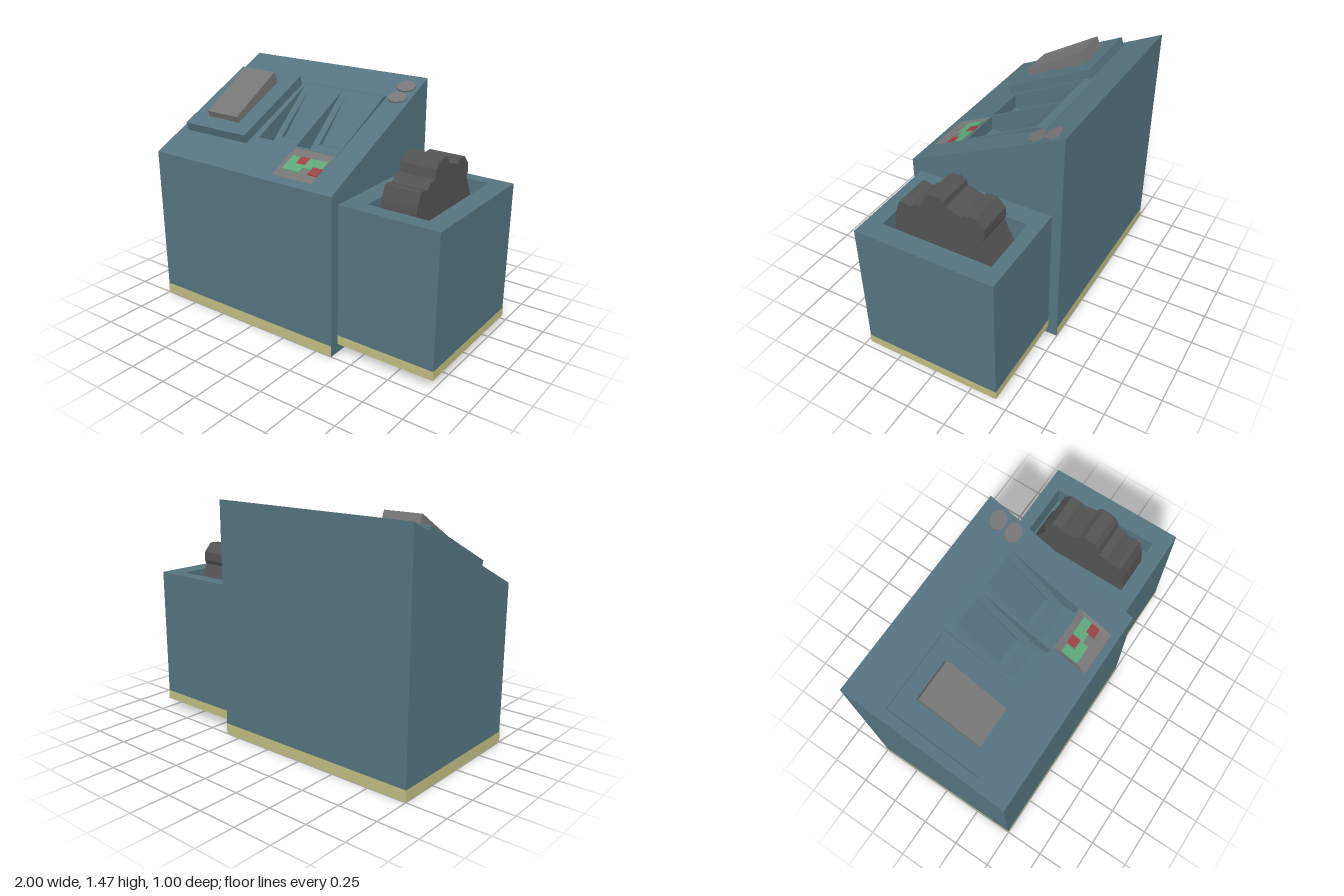
import * as THREE from 'three';

const mat = (color) => new THREE.MeshStandardMaterial({ color, side: THREE.DoubleSide, flatShading: true });
const BLUE = mat(0x56737f), YELLOW = mat(0xc0bd82), GREY = mat(0x777676),
  ROCK = mat(0x545353), GREEN = mat(0x5fa57a), RED = mat(0x9a4344);

// Height of the sloping desk, and of the slightly steeper tray frame on it
const desk = (z) => 1 + 0.47 * (0.5 - z);
const frame = (z) => 1.103 + 0.515 * (0.28 - z);

function add(parent, name, geometry, material) {
  const mesh = new THREE.Mesh(geometry, material);
  mesh.name = name;
  parent.add(mesh);
  return mesh;
}

// Flat polygons, each a loop of [x, y, z] corners
function faces(polygons) {
  const pos = [];
  for (const p of polygons)
    for (let i = 1; i < p.length - 1; i++) pos.push(...p[0], ...p[i], ...p[i + 1]);
  const g = new THREE.BufferGeometry();
  g.setAttribute('position', new THREE.Float32BufferAttribute(pos, 3));
  g.computeVertexNormals();
  return g;
}

// Open trough: a [z, y] profile swept from x0 to x1, with closed ends
function trough(x0, x1, profile, firstStrip = 0) {
  const polys = [x0, x1].map((x) => profile.map(([z, y]) => [x, y, z]));
  for (let i = firstStrip; i < profile.length - 1; i++) {
    const [[za, ya], [zb, yb]] = [profile[i], profile[i + 1]];
    polys.push([[x0, ya, za], [x1, ya, za], [x1, yb, zb], [x0, yb, zb]]);
  }
  return faces(polys);
}

const rect = (x0, x1, z0, z1) => [[x0, z0], [x1, z0], [x1, z1], [x0, z1]];

// Sheet over an [x, z] outline with holes, lifted to height(z)
function sheet(outline, holes, height) {
  const pts = (loop) => loop.map(([x, z]) => new THREE.Vector2(x, -z));
  const shape = new THREE.Shape(pts(outline));
  for (const h of holes) shape.holes.push(new THREE.Path(pts(h)));
  const g = new THREE.ShapeGeometry(shape).rotateX(-Math.PI / 2);
  const p = g.attributes.position;
  for (let i = 0; i < p.count; i++) p.setY(i, height(p.getZ(i)));
  g.computeVertexNormals();
  return g;
}

// Walls joining two [x, z] loops at two heights
function walls(a, ha, b, hb) {
  return faces(a.map((_, i) => {
    const j = (i + 1) % a.length;
    return [[a[i], ha], [a[j], ha], [b[j], hb], [b[i], hb]].map(([[x, z], h]) => [x, h(z), z]);
  }));
}

// Solid with a [z, y] profile between x0 and x1
function prism(x0, x1, profile) {
  const shape = new THREE.Shape(profile.map(([z, y]) => new THREE.Vector2(-z, y)));
  return new THREE.ExtrudeGeometry(shape, { depth: x1 - x0, bevelEnabled: false })
    .rotateY(Math.PI / 2).translate(x0, 0, 0);
}

// Kick strip on the front, back and one outer side
function kickStrip(inner, outer, zHalf, y0, y1) {
  const path = [[inner, zHalf], [outer, zHalf], [outer, -zHalf], [inner, -zHalf]];
  return faces(path.slice(1).map(([x, z], i) => {
    const [px, pz] = path[i];
    return [[px, y0, pz], [x, y0, z], [x, y1, z], [px, y1, pz]];
  }));
}

export function createModel() {
  const model = new THREE.Group();
  model.name = 'controlConsole';

  // Main cabinet with its sloping desk
  const cabinet = new THREE.Group();
  cabinet.name = 'cabinet';
  model.add(cabinet);
  add(cabinet, 'cabinetShell', trough(-0.998, 0.36, [[0.498, desk(0.498)], [0.498, 0], [-0.498, 0], [-0.498, desk(-0.498)]]), BLUE);
  const opening = [[-0.41, -0.3], [0.2, -0.3], [0.2, 0.23], [0.19, 0.23], [0.19, 0.45],
    [-0.1, 0.45], [-0.1, 0.28], [-0.41, 0.28]];
  add(cabinet, 'deskTop', sheet(rect(-0.998, 0.36, -0.498, 0.498), [opening], desk), BLUE);
  add(cabinet, 'cabinetKickStrip', kickStrip(0.36, -1, 0.5, 0, 0.07), YELLOW);

  // Raised frame around the two bays
  const bays = [[-0.39, -0.12], [-0.1, 0.18]];
  const rim = [[-0.41, -0.25], [0.2, -0.25], [0.2, 0.23], [-0.1, 0.23], [-0.1, 0.28], [-0.41, 0.28]];
  add(cabinet, 'bayFrame', sheet(rim, bays.map(([a, b]) => rect(a, b, -0.24, 0.22)), frame), BLUE);
  add(cabinet, 'bayFrameEdge', walls(rim, frame, rim, desk), BLUE);
  add(cabinet, 'bayFrameBack', trough(-0.41, 0.2, [[-0.3, desk(-0.3)], [-0.25, frame(-0.25)], [-0.25, desk(-0.25)]]), BLUE);

  // Bays: inclined back with a slot, level floor at the front
  const incline = (z) => frame(-0.24) - (z + 0.24) * 0.89;
  for (const [a, b] of bays) {
    const s0 = a + 0.045, s1 = b - 0.045, low = incline(0.13), ledge = incline(0.06);
    add(cabinet, 'bay', trough(a, b, [[-0.24, incline(-0.24)], [0.13, low], [0.22, low], [0.22, frame(0.22)]], 1), BLUE);
    add(cabinet, 'bayBack', sheet(rect(a, b, -0.24, 0.13), [rect(s0, s1, -0.235, 0.06)], incline), BLUE);
    add(cabinet, 'baySlot', trough(s0, s1, [[-0.235, incline(-0.235)], [0.02, ledge], [0.06, ledge]]), BLUE);
  }

  // Sunken keypad with coloured keys
  const floor = (z) => desk(z) - 0.016;
  const inner = rect(-0.08, 0.17, 0.27, 0.385);
  add(cabinet, 'keypadBevel', walls(rect(-0.1, 0.19, 0.23, 0.45), desk, inner, floor), GREY);
  add(cabinet, 'keypadFloor', sheet(inner, [], floor), GREY);
  const keys = [
    [-0.08, -0.02, 0.275, 0.325, GREEN], [-0.02, 0.045, 0.27, 0.325, RED], [0.045, 0.17, 0.27, 0.325, GREEN],
    [-0.08, 0.045, 0.325, 0.38, GREEN], [0.045, 0.105, 0.325, 0.345, GREEN], [0.105, 0.17, 0.325, 0.38, RED],
  ];
  for (const [x0, x1, z0, z1, m] of keys)
    add(cabinet, 'key', prism(x0, x1, [[z0, floor(z0)], [z1, floor(z1)], [z1, floor(z1) + 0.006], [z0, floor(z0) + 0.006]]), m);

  // Slanted plinth carrying a wedge
  add(cabinet, 'plinth', prism(-0.935, -0.44, [[0.3, 1.155], [0.28, 1.095], [-0.275, 1.36], [-0.255, 1.42]]), BLUE);
  add(cabinet, 'wedge', prism(-0.81, -0.56, [[0.228, 1.235], [0.21, 1.19], [-0.17, 1.375], [-0.14, 1.452]]), GREY);

  // Two round buttons lying on the desk
  for (const z of [-0.392, -0.292]) {
    const button = add(cabinet, 'roundButton', new THREE.CylinderGeometry(0.062, 0.062, 0.014, 20), GREY);
    button.scale.z = 0.8;
    button.position.set(0.275, desk(z) + 0.004, z);
    button.rotation.x = Math.atan(0.47);
  }

  // Side cabinet with a sunken top
  const side = new THREE.Group();
  side.name = 'sideCabinet';
  model.add(side);
  add(side, 'sideShell', trough(0.362, 0.998, [[0.438, 0.94], [0.438, 0.06], [-0.438, 0.06], [-0.438, 0.94]]), BLUE);
  add(side, 'sideTop', sheet(rect(0.362, 0.998, -0.438, 0.438), [rect(0.49, 0.875, -0.355, 0.34)], () => 0.94), BLUE);
  add(side, 'sideRecess', trough(0.49, 0.875, [[-0.355, 0.94], [-0.355, 0.8], [0.34, 0.8], [0.34, 0.94]]), BLUE);
  add(side, 'sideKickStrip', kickStrip(0.362, 1, 0.44, 0.06, 0.118), YELLOW);

  // Jagged block standing in the recess
  add(side, 'jaggedBlock', prism(0.56, 0.785, [
    [0.33, 0.8], [0.316, 0.941], [0.31, 0.977], [0.28, 1.055], [0.254, 1.059], [0.207, 1.047], [0.18, 1.078],
    [0.129, 1.086], [0.117, 1.14], [0.09, 1.176], [0.016, 1.188], [-0.016, 1.168], [-0.023, 1.137], [-0.125, 1.105],
    [-0.14, 1.125], [-0.207, 1.129], [-0.258, 1.074], [-0.262, 1.023], [-0.25, 0.996], [-0.273, 0.941], [-0.345, 0.8],
  ]), ROCK);

  return model;
}
